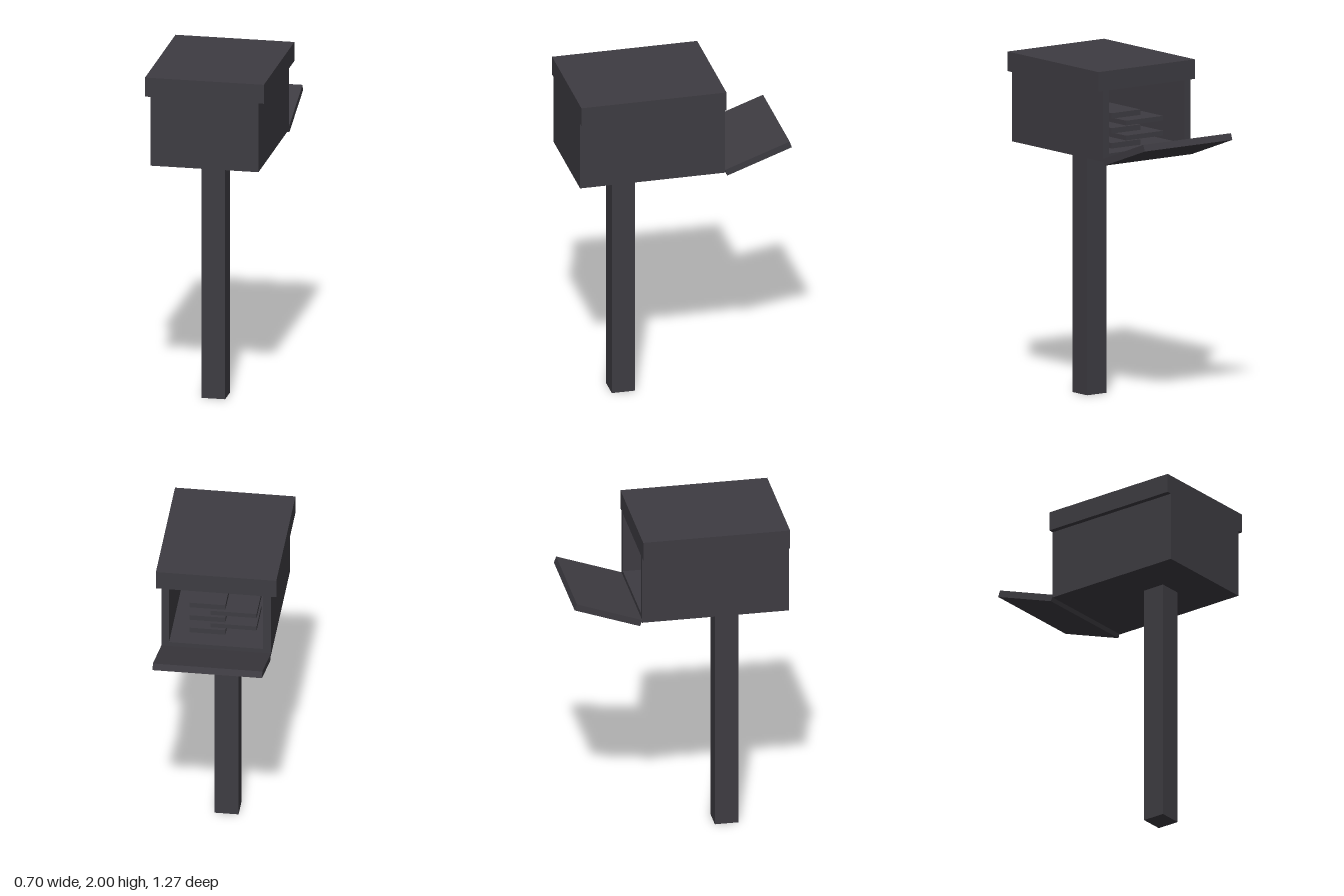
import * as THREE from 'three';

export function createModel() {
  const group = new THREE.Group();
  const charcoal = new THREE.MeshStandardMaterial({ color: 0x3e3c42 });
  charcoal.name = 'charcoal';

  // Box given by its min and max along each axis
  function box(name, [x0, x1], [y0, y1], [z0, z1]) {
    const mesh = new THREE.Mesh(new THREE.BoxGeometry(x1 - x0, y1 - y0, z1 - z0), charcoal);
    mesh.position.set((x0 + x1) / 2, (y0 + y1) / 2, (z0 + z1) / 2);
    mesh.name = name;
    group.add(mesh);
    return mesh;
  }

  const W = 0.32, T = 0.045, floorY = 1.468, lidY = 1.885, back = -0.232, front = 0.635;

  // Post
  box('post', [-0.07, 0.07], [0, floorY], [0.245, 0.383]);

  // Hollow body, open at the back
  box('floor', [-W, W], [floorY, floorY + T], [back, front]);
  box('frontWall', [-W + T, W - T], [floorY + T, lidY], [front - T, front]);
  box('leftWall', [W - T, W], [floorY + T, lidY], [back, front]);
  box('rightWall', [-W, -W + T], [floorY + T, lidY], [back, front]);

  // Overhanging lid
  box('lid', [-0.352, 0.352], [lidY, 2], [back, front]);

  // Open door, hinged at the bottom
  const door = box('door', [-W, W], [1.515, 1.555], [-0.636, -0.226]);
  door.rotation.x = 0.342;

  // Stack of parcels inside, with smaller ones between
  for (let i = 0; i < 3; i++) {
    const y = 1.515 + i * 0.088;
    box('parcel', [-0.04, 0.17], [y, y + 0.032], [-0.12, 0.18]);
    if (i < 2) box('smallParcel', [-0.22, 0.05], [y + 0.032, y + 0.06], [-0.1, 0.12]);
  }

  return group;
}
